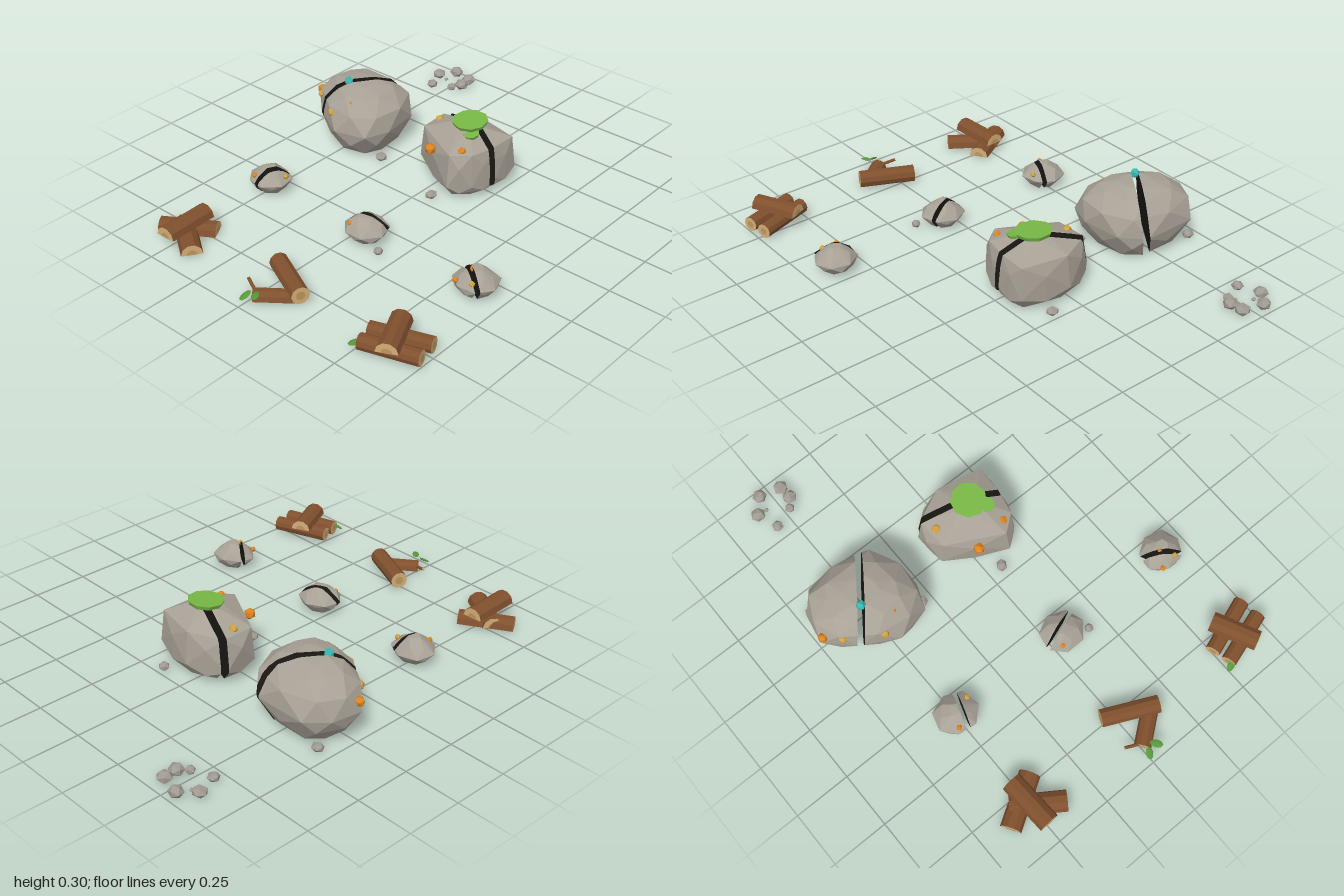
import * as THREE from 'three';
import { ConvexGeometry } from 'three/addons/geometries/ConvexGeometry.js';

const V = (x, y, z) => new THREE.Vector3(x, y, z);
const mat = (color, side = THREE.FrontSide) => new THREE.MeshStandardMaterial({ color, flatShading: true, side });
const STONE = mat(0xa8a196), CRACK = mat(0x1c1915), PEBBLE = mat(0xa09a92);
const BARK = mat(0x80502e), WOOD = mat(0xd4ae78), RING = mat(0xc0965e);
const ORANGE = mat(0xdc8420), GOLD = mat(0xd2a240), TEAL = mat(0x38b8b2);
const MOSS = mat(0x78b846), LEAF = mat(0x56983a);

let seed = 7;
const rand = () => (seed = (seed * 16807) % 2147483647) / 2147483647;
const jitter = a => (rand() - 0.5) * 2 * a;

function add(parent, name, geo, material, pos) {
  const m = new THREE.Mesh(geo, material);
  m.name = name;
  if (pos) m.position.set(...pos);
  parent.add(m);
  return m;
}

function fromPoints(points) {
  const g = new THREE.BufferGeometry().setFromPoints(points);
  g.computeVertexNormals();
  return g;
}

// Convex boulder: a plan outline repeated at several heights, every other ring turned half a step
function boulder(outline, rings, rough) {
  const c = outline.reduce((s, p) => [s[0] + p[0] / outline.length, s[1] + p[1] / outline.length], [0, 0]);
  const pts = [];
  rings.forEach(([y, scale], k) => outline.forEach((p, i) => {
    const q = outline[(i + 1) % outline.length];
    const [x, z] = k % 2 ? [(p[0] + q[0]) / 2, (p[1] + q[1]) / 2] : p;
    const s = scale * (1 + jitter(rough));
    pts.push(V(c[0] + (x - c[0]) * s, k ? y + jitter(rough * 0.1) : y, c[1] + (z - c[1]) * s));
  }));
  return new ConvexGeometry(pts);
}

// Keep the part of a convex solid where n.p >= c; returns its skin and the cut face
function cut(geo, n, c) {
  const pos = geo.attributes.position, skin = [], rim = [], cap = [];
  for (let i = 0; i < pos.count; i += 3) {
    const tri = [0, 1, 2].map(k => new THREE.Vector3().fromBufferAttribute(pos, i + k));
    const poly = [];
    tri.forEach((a, k) => {
      const b = tri[(k + 1) % 3], da = n.dot(a) - c, db = n.dot(b) - c;
      if (da >= 0) poly.push(a);
      if (da * db < 0) {
        const p = a.clone().lerp(b, da / (da - db));
        poly.push(p);
        rim.push(p);
      }
    });
    for (let k = 1; k + 1 < poly.length; k++) skin.push(poly[0], poly[k], poly[k + 1]);
  }
  const mid = rim.reduce((s, p) => s.addScaledVector(p, 1 / rim.length), V(0, 0, 0));
  const u = V(0, 1, 0).cross(n).normalize(), v = n.clone().negate().cross(u);
  const angle = p => Math.atan2(p.clone().sub(mid).dot(v), p.clone().sub(mid).dot(u));
  rim.sort((a, b) => angle(a) - angle(b));
  rim.forEach((p, i) => cap.push(mid, p, rim[(i + 1) % rim.length]));
  return [fromPoints(skin), fromPoints(cap)];
}

// Boulder split in two along a plan line a-b, with dark inner faces
function splitRock(name, outline, rings, rough, a, b, gap, tilt = 0) {
  const g = new THREE.Group();
  g.name = name;
  const geo = boulder(outline, rings, rough);
  const n = V(b[1] - a[1], 0, a[0] - b[0]).normalize().setY(tilt).normalize();
  const c = n.dot(V(a[0], rings[2][0], a[1]));
  for (const s of [1, -1]) {
    const [skin, cap] = cut(geo, n.clone().multiplyScalar(s), s * c + gap / 2);
    add(g, 'stoneHalf', skin, STONE);
    add(g, 'crackFace', cap, CRACK);
  }
  return g;
}

// Log from a to b; half logs are flat underneath
function log(a, b, r, half = false) {
  const g = new THREE.Group();
  g.name = half ? 'splitLog' : 'roundLog';
  const from = V(...a), to = V(...b), len = from.distanceTo(to);
  const sides = half ? 5 : 10, arc = half ? Math.PI : Math.PI * 2;
  add(g, 'bark', new THREE.CylinderGeometry(r, r, len, sides, 1, true, Math.PI / 2, arc).rotateX(Math.PI / 2), BARK);
  for (const s of [0, 1]) {
    const turn = geo => geo.rotateY(s * Math.PI);
    add(g, 'logEnd', turn(new THREE.CircleGeometry(r, sides, 0, arc).translate(0, 0, len / 2)), WOOD);
    add(g, 'growthRing', turn(new THREE.CircleGeometry(r * 0.5, sides, 0, arc).translate(0, 0, len / 2 + 0.001)), RING);
  }
  if (half) add(g, 'splitFace', new THREE.PlaneGeometry(2 * r, len).rotateX(Math.PI / 2), WOOD);
  g.position.copy(from).lerp(to, 0.5);
  g.lookAt(to);
  return g;
}

function leaf(parent, x, y, z, turn) {
  const m = add(parent, 'leaf', new THREE.OctahedronGeometry(1, 1), LEAF, [x, y, z]);
  m.scale.set(0.028, 0.005, 0.016);
  m.rotation.set(0.3, turn, 0.25);
}

function pebble(parent, x, z, r) {
  const m = add(parent, 'pebble', new THREE.IcosahedronGeometry(1, 0), PEBBLE, [x, r * 0.8, z]);
  m.scale.set(r * (1 + jitter(0.12)), r * 0.75, r * (1 + jitter(0.12)));
  m.rotation.y = rand() * 6;
}

export function createModel() {
  const model = new THREE.Group();
  model.name = 'rocksAndLogs';

  // Large boulders
  model.add(splitRock('largeRock',
    [[-0.75, -0.23], [-0.72, -0.36], [-0.65, -0.45], [-0.4, -0.45], [-0.31, -0.36], [-0.285, -0.18], [-0.33, -0.07], [-0.48, -0.04], [-0.64, -0.12]],
    [[0.01, 0.7], [0.07, 0.95], [0.13, 1], [0.21, 0.97], [0.262, 0.62], [0.283, 0.32]], 0.03,
    [-0.4, -0.44], [-0.62, -0.13], 0.03, -0.12));
  model.add(splitRock('mossyRock',
    [[-0.14, -0.37], [0.02, -0.45], [0.24, -0.4], [0.24, -0.26], [0.21, -0.14], [0.13, -0.07], [-0.135, -0.21]],
    [[0.01, 0.75], [0.04, 1], [0.07, 1], [0.16, 1.02], [0.215, 0.9], [0.27, 0.25]], 0.02,
    [-0.13, -0.37], [0.24, -0.245], 0.03));

  // Small cracked rocks
  for (const [x, z, a, b] of [
    [-0.5, 0.34, [-0.455, 0.28], [-0.5, 0.42]],
    [0.06, 0.35, [-0.02, 0.365], [0.15, 0.305]],
    [0.62, 0.34, [0.53, 0.315], [0.69, 0.415]]]) {
    const outline = Array.from({ length: 7 }, (_, i) => {
      const t = i / 7 * Math.PI * 2 + x * 3;
      return [x + 0.098 * Math.cos(t), z + 0.092 * Math.sin(t)];
    });
    model.add(splitRock('smallRock', outline, [[0.012, 0.6], [0.04, 0.95], [0.06, 1], [0.09, 0.75], [0.115, 0.3]], 0.05, a, b, 0.02));
  }

  // Crystals: x, y, z, radius, material
  for (const [x, y, z, r, m] of [
    [-0.735, 0.17, -0.23, 0.023, ORANGE], [-0.675, 0.19, -0.17, 0.022, GOLD], [-0.53, 0.185, -0.08, 0.022, GOLD],
    [-0.45, 0.23, -0.12, 0.025, ORANGE], [-0.545, 0.285, -0.205, 0.022, TEAL],
    [-0.09, 0.222, -0.29, 0.022, GOLD], [0, 0.188, -0.12, 0.026, ORANGE], [0.15, 0.22, -0.145, 0.021, ORANGE],
    [-0.425, 0.085, 0.32, 0.013, GOLD], [-0.53, 0.085, 0.4, 0.013, ORANGE],
    [0.02, 0.085, 0.4, 0.013, ORANGE], [0.055, 0.095, 0.385, 0.013, GOLD],
    [0.605, 0.108, 0.345, 0.013, ORANGE], [0.57, 0.075, 0.41, 0.013, ORANGE], [0.645, 0.085, 0.4, 0.013, GOLD]])
    add(model, 'crystal', new THREE.IcosahedronGeometry(r, 0), m, [x, y, z]).rotation.set(x * 9, z * 9, 0.4);

  // Moss pads
  add(model, 'mossPad', new THREE.CylinderGeometry(0.078, 0.07, 0.018, 9), MOSS, [0.08, 0.279, -0.285]).rotation.x = 0.08;
  add(model, 'smallMossPad', new THREE.CylinderGeometry(0.036, 0.03, 0.014, 7), MOSS, [0.13, 0.258, -0.23]).rotation.x = 0.15;

  // Loose pebbles and the pebble cluster
  for (const [x, z, r = 0.026] of [
    [-0.69, -0.4], [-0.3, -0.14], [0.135, -0.47], [0.065, -0.05], [0.17, 0.4, 0.023],
    [-0.6, -0.9, 0.03], [-0.545, -0.965, 0.034], [-0.45, -0.94, 0.034], [-0.445, -0.88, 0.034],
    [-0.475, -0.84, 0.025], [-0.565, -0.805, 0.026], [-0.558, -0.902, 0.01]])
    pebble(model, x, z, r);

  // Three log piles
  const logs = [
    [[-0.625, 0.01, 0.84], [-0.42, 0.01, 0.715], 0.045, true],
    [[-0.375, 0.012, 0.895], [-0.57, 0.012, 0.765], 0.045, true],
    [[-0.495, 0.057, 0.925], [-0.505, 0.057, 0.7], 0.046, true],
    [[-0.055, 0.045, 0.73], [0.17, 0.045, 0.835], 0.038],
    [[0.135, 0.012, 0.825], [0.005, 0.012, 0.925], 0.036, true],
    [[0.495, 0.042, 0.81], [0.735, 0.042, 0.727], 0.033],
    [[0.515, 0.042, 0.885], [0.75, 0.042, 0.812], 0.033],
    [[0.57, 0.07, 0.715], [0.66, 0.07, 0.9], 0.045, true]];
  logs.forEach(l => model.add(log(...l)));
  model.add(log([-0.06, 0.045, 0.885], [0.015, 0.025, 0.915], 0.007));

  // Leaves on the cut ends
  leaf(model, 0.005, 0.04, 0.965, 1.2);
  leaf(model, 0.05, 0.055, 0.955, -0.9);
  leaf(model, 0.51, 0.045, 0.905, 0.5);
  return model;
}
